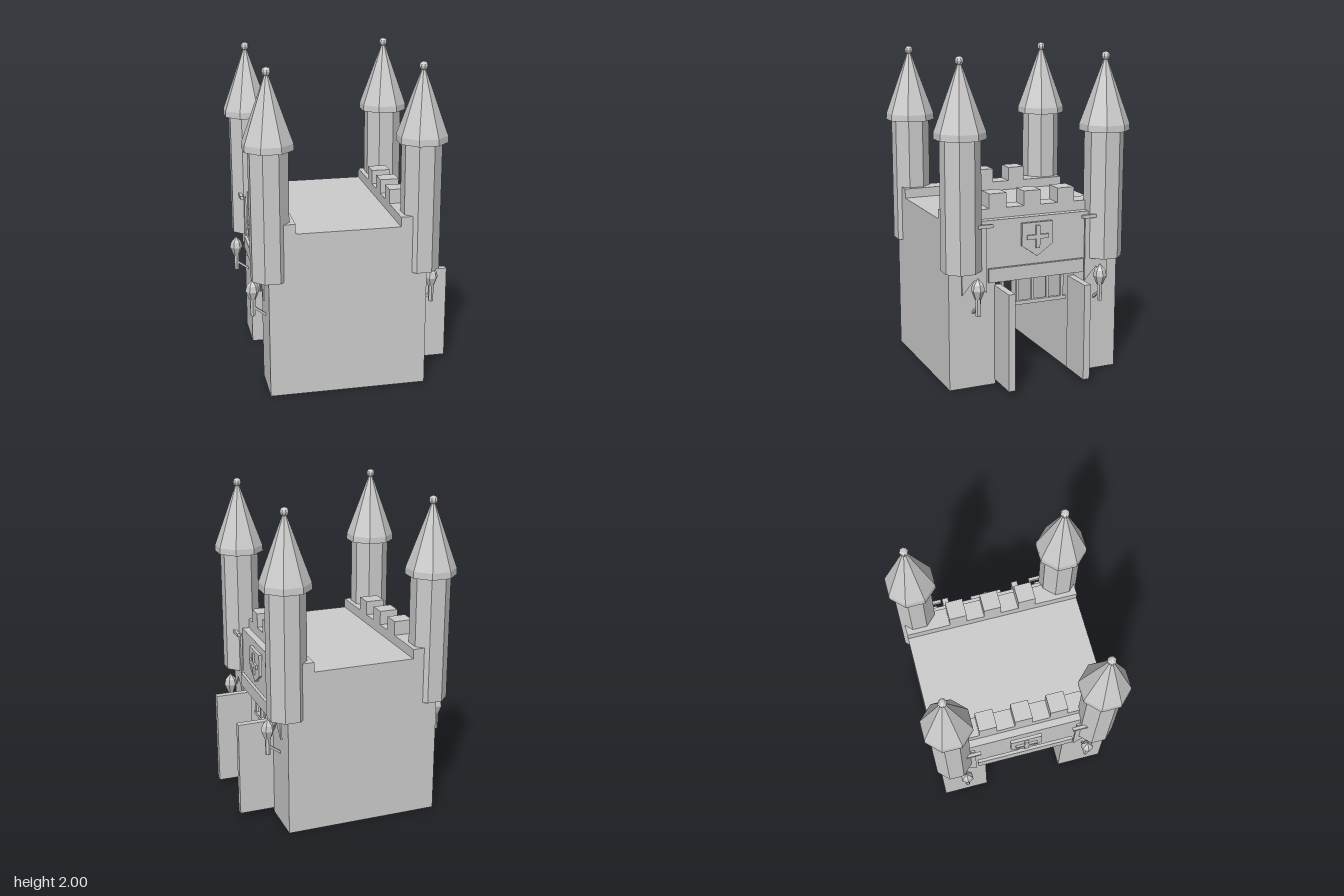
import * as THREE from 'three';

const stone = new THREE.MeshStandardMaterial({ color: 0xcccccc, side: THREE.DoubleSide });
stone.name = 'stone grey';

const W = 0.4825, D = 0.56, H = 1.03;   // half width, half depth, height of the gatehouse
const GATE = 0.262, GATE_H = 0.66;      // half width and height of the passage

// Adds a faceted mesh
function add(parent, name, geo, x = 0, y = 0, z = 0) {
  const g = geo.index ? geo.toNonIndexed() : geo;
  g.computeVertexNormals();
  const mesh = new THREE.Mesh(g, stone);
  mesh.name = name;
  mesh.position.set(x, y, z);
  parent.add(mesh);
  return mesh;
}

// Box given by its lower and upper limits
function block(parent, name, x0, x1, y0, y1, z0, z1) {
  return add(parent, name, new THREE.BoxGeometry(x1 - x0, y1 - y0, z1 - z0),
    (x0 + x1) / 2, (y0 + y1) / 2, (z0 + z1) / 2);
}

const shapeOf = (pts) => new THREE.Shape(pts.map(([x, y]) => new THREE.Vector2(x, y)));

// Flat plate cut from a z-y outline, thickened along +x
function plate(parent, name, pts, depth, x, y, z) {
  const geo = new THREE.ExtrudeGeometry(shapeOf(pts), { depth, bevelEnabled: false });
  return add(parent, name, geo.rotateY(Math.PI / 2), x, y, z);
}

function lathe(pts, sides) {
  return new THREE.LatheGeometry(pts.map(([r, y]) => new THREE.Vector2(r, y)), sides, Math.PI / sides);
}

// Hollow gatehouse with a passage right through along x, open underneath
function buildWalls(parent) {
  const outer = [[D, 0], [D, H], [-D, H], [-D, 0]];
  const inner = [[-GATE, 0], [-GATE, GATE_H], [GATE, GATE_H], [GATE, 0]];
  const pos = [];
  for (const path of [outer, inner]) {
    for (let i = 0; i < 3; i++) {
      const [z0, y0] = path[i], [z1, y1] = path[i + 1];
      pos.push(-W, y0, z0, W, y0, z0, W, y1, z1);
      pos.push(-W, y0, z0, W, y1, z1, -W, y1, z1);
    }
  }
  const shell = new THREE.BufferGeometry();
  shell.setAttribute('position', new THREE.Float32BufferAttribute(pos, 3));
  add(parent, 'wallShell', shell);
  for (const s of [1, -1]) {
    const face = new THREE.ShapeGeometry(shapeOf([...outer, ...inner]));
    add(parent, 'gateWall', face.rotateY(s * Math.PI / 2), s * W);
  }
}

function buildTower(parent, x, z) {
  const tower = new THREE.Group();
  tower.name = 'tower';
  tower.position.set(x, 0, z);
  parent.add(tower);
  const k = 1 / Math.cos(Math.PI / 8);
  add(tower, 'towerShaft', lathe([[0, 0.735], [0.1125 * k, 0.735], [0.1125 * k, 1.53], [0, 1.53]], 8));
  add(tower, 'towerRoof', lathe([[0, 1.525], [0.144 * k, 1.525], [0.142 * k, 1.565], [0.008, 1.965]], 8));
  add(tower, 'roofBall', new THREE.SphereGeometry(0.027, 8, 6), 0, 1.973, 0);
}

function buildTorch(parent, z) {
  const torch = new THREE.Group();
  torch.name = 'torch';
  torch.position.set(W + 0.078, 0, z);
  parent.add(torch);
  add(torch, 'torchHandle', new THREE.CylinderGeometry(0.018, 0.016, 0.12, 6), 0, 0.535, 0);
  add(torch, 'torchFlame', lathe([[0, 0.58], [0.02, 0.58], [0.042, 0.635], [0.034, 0.67], [0, 0.71]], 6));
  // Sloping bracket back to the wall
  const bracket = add(torch, 'torchBracket', new THREE.BoxGeometry(0.1, 0.014, 0.014), -0.04, 0.505, 0);
  bracket.rotation.z = Math.atan2(0.055, 0.075);
}

// Everything on one gate face, built for +x
function buildGateSide(parent, name) {
  const side = new THREE.Group();
  side.name = name;
  parent.add(side);

  // Parapet with three merlons
  block(side, 'parapet', W - 0.165, W - 0.045, H - 0.01, 1.09, -D, D);
  for (const z of [-0.225, 0, 0.225]) {
    block(side, 'merlon', W - 0.165, W - 0.045, 1.085, 1.18, z - 0.056, z + 0.056);
  }

  // Lintel beam and raised portcullis
  block(side, 'lintel', W + 0.012, W + 0.032, 0.655, 0.74, -0.315, 0.315);
  for (let i = -2; i <= 2; i++) {
    block(side, 'portcullisBar', W - 0.05, W - 0.032, 0.48, GATE_H, i * 0.1 - 0.009, i * 0.1 + 0.009);
  }
  block(side, 'portcullisRail', W - 0.052, W - 0.03, 0.475, 0.498, -0.228, 0.228);

  // Shield with a plain cross
  plate(side, 'shield', [[-0.1, 1.0], [-0.1, 0.86], [0, 0.79], [0.1, 0.86], [0.1, 1.0]], 0.02, W + 0.012, 0, 0);
  const a = 0.013, b = 0.07;
  plate(side, 'shieldCross', [[-a, b], [-a, a], [-b, a], [-b, -a], [-a, -a], [-a, -b],
    [a, -b], [a, -a], [b, -a], [b, a], [a, a], [a, b]], 0.014, W + 0.031, 0.912, 0);

  // Swallow-tailed banners on short rods, and torches
  for (const s of [-1, 1]) {
    plate(side, 'banner', [[-0.078, 1.0], [-0.078, 0.595], [0, 0.68], [0.078, 0.595], [0.078, 1.0]],
      0.012, W + 0.012, 0, s * 0.405);
    block(side, 'bannerRod', W + 0.034, W + 0.054, 0.997, 1.018, s * 0.405 - 0.11, s * 0.405 + 0.11);
    buildTorch(side, s * 0.405);
  }
  return side;
}

export function createModel() {
  const model = new THREE.Group();
  model.name = 'castleGatehouse';
  const castle = new THREE.Group();
  castle.name = 'castle';
  castle.position.x = -0.0525;
  model.add(castle);

  buildWalls(castle);
  for (const x of [-0.46, 0.46]) for (const z of [-0.471, 0.471]) buildTower(castle, x, z);

  const gate = buildGateSide(castle, 'gateSide');
  buildGateSide(castle, 'rearGateSide').rotation.y = Math.PI;

  // Open doors on the gate side only
  for (const s of [-1, 1]) {
    block(gate, 'door', W - 0.01, 0.704, 0.03, 0.63, s * 0.247 - 0.021, s * 0.247 + 0.021);
  }
  return model;
}
